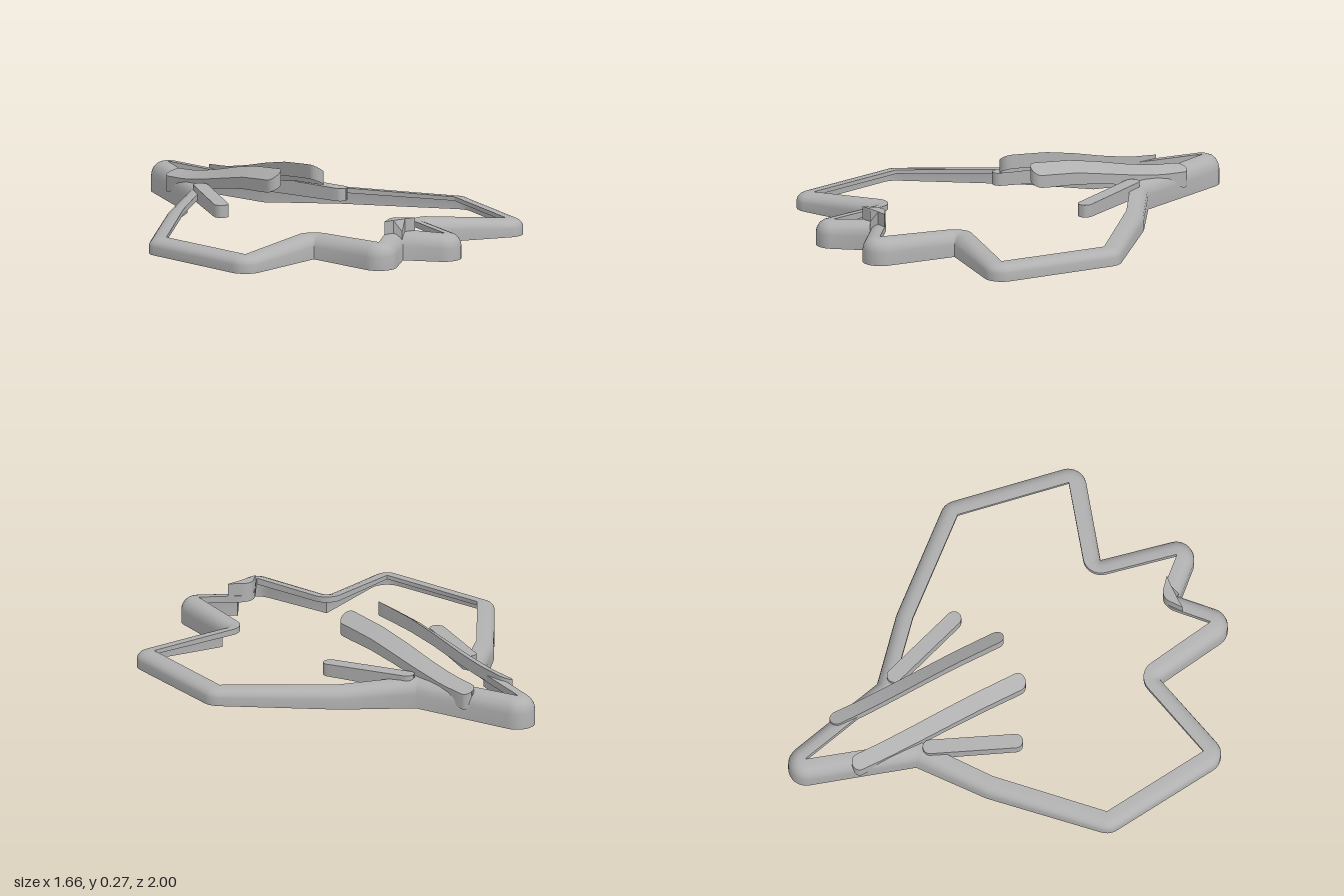
import * as THREE from 'three';
import { toCreasedNormals } from 'three/addons/utils/BufferGeometryUtils.js';

const V2 = (x, z) => new THREE.Vector2(x, z);

// Skin a row of open cross-sections (each a strip of [x, y, z])
function loft(sections, closed) {
  const n = sections[0].length, rows = sections.length, index = [];
  for (let i = 0; i < (closed ? rows : rows - 1); i++) {
    const k = (i + 1) % rows;
    for (let j = 0; j < n - 1; j++) {
      const a = i * n + j, d = k * n + j;
      index.push(a, a + 1, d + 1, a, d + 1, d);
    }
  }
  const geo = new THREE.BufferGeometry();
  geo.setAttribute('position', new THREE.Float32BufferAttribute(sections.flat(2), 3));
  geo.setIndex(index);
  return toCreasedNormals(geo, 0.6);
}

const mirror = (sections) =>
  sections.map((strip) => strip.map(([x, y, z]) => [-x, y, z]).reverse());

// Piecewise-linear lookup: rows of [key, ...values]
function lookup(table, key) {
  let i = 0;
  while (i < table.length - 2 && key > table[i + 1][0]) i++;
  const a = table[i], b = table[i + 1];
  const t = THREE.MathUtils.clamp((key - a[0]) / (b[0] - a[0]), 0, 1);
  return a.slice(1).map((v, j) => v + (b[j + 1] - v) * t);
}

// Closed path with rounded corners; corner = [x, z, height]
function roundedLoop(corners, radius) {
  const out = [], count = corners.length;
  corners.forEach((c, i) => {
    const prev = corners[(i + count - 1) % count], next = corners[(i + 1) % count];
    const p = V2(c[0], c[1]);
    const u = V2(prev[0], prev[1]).sub(p).normalize();
    const v = V2(next[0], next[1]).sub(p).normalize();
    const half = Math.acos(THREE.MathUtils.clamp(u.dot(v), -1, 1)) / 2;
    const centre = p.clone().addScaledVector(u.clone().add(v).normalize(), radius / Math.sin(half));
    const reach = radius / Math.tan(half);
    const a = p.clone().addScaledVector(u, reach).sub(centre);
    const b = p.clone().addScaledVector(v, reach).sub(centre);
    const sweep = Math.atan2(a.cross(b), a.dot(b));
    const steps = Math.max(2, Math.ceil(Math.abs(sweep) / 0.22));
    for (let s = 0; s <= steps; s++) {
      const q = a.clone().rotateAround(V2(0, 0), (sweep * s) / steps);
      // Outward normal comes from the arc itself, flipped on inward bends
      const normal = q.clone().normalize().multiplyScalar(Math.sign(sweep));
      out.push({ p: q.add(centre), normal, h: c[2] });
    }
  });
  return out;
}

// Round-ended hollow bar along z; profile(z) gives
// [innerTop, outerTop, innerBottom, outerBottom]
function barSections(x, z0, z1, hw, profile) {
  const sections = [], arc = 8, mid = 16;
  const add = (z, w) => {
    const [ti, to, bi, bo] = profile(z);
    const top = (o) => THREE.MathUtils.mapLinear(o, -hw, hw, ti, to);
    const bottom = (o) => THREE.MathUtils.mapLinear(o, -hw, hw, bi, bo);
    sections.push([[x + w, bottom(w), z], [x + w, top(w), z], [x - w, top(-w), z], [x - w, bottom(-w), z]]);
  };
  const addEnd = (z, inward, i) => {
    const a = (i / arc) * Math.PI / 2;
    add(z + inward * hw * (1 - Math.cos(a)), Math.max(0.0005, hw * Math.sin(a)));
  };
  for (let i = 0; i <= arc; i++) addEnd(z0, 1, i);
  for (let i = 1; i < mid; i++) add(z0 + hw + ((z1 - z0 - 2 * hw) * i) / mid, hw);
  for (let i = arc; i >= 0; i--) addEnd(z1, -1, i);
  return sections;
}

export function createModel() {
  const group = new THREE.Group();
  const grey = new THREE.MeshStandardMaterial({ color: 0xb0b0b0, side: THREE.DoubleSide });
  grey.name = 'plain grey';
  const add = (name, geometry) => {
    const mesh = new THREE.Mesh(geometry, grey);
    mesh.name = name;
    group.add(mesh);
    return mesh;
  };

  // Outline frame: nose, leading edge, wing tip, trailing edge, tail, notch
  const left = [
    [0.165, -0.47, 0.12], [0.43, -0.25, 0.088], [0.795, 0.145, 0.07],
    [0.714, 0.702, 0.072], [0.275, 0.58, 0.103], [0.195, 1.008, 0.112],
  ];
  const corners = [
    [0, -1.075, 0.13], ...left, [0, 0.81, 0.12],
    ...left.map(([x, z, h]) => [-x, z, h]).reverse(),
  ];
  const hw = 0.038;
  // Open-bottomed shell with a short inner lip:
  // offset as a share of half width, height as a share of the local height
  const section = [[1, 0], [1, 0.52], [0.9, 0.68], [0.65, 0.83], [0.25, 0.94], [-0.2, 0.99], [-1, 1], [-1, 0.75]];
  const frame = roundedLoop(corners, hw + 0.002).map(({ p, normal, h }) =>
    section.map(([o, y]) => [p.x + normal.x * o * hw, y * h, p.y + normal.y * o * hw]));
  add('outlineFrame', loft(frame, true));

  // Tail blades: rising bars with the top slanted down to the outside
  const bladeTable = [
    [-0.76, 0.14, 0.115, 0.09, 0.04], [-0.6, 0.155, 0.125, 0.1, 0.075], [-0.45, 0.185, 0.15, 0.13, 0.105],
    [-0.3, 0.222, 0.18, 0.165, 0.135], [-0.15, 0.252, 0.21, 0.19, 0.158], [0, 0.268, 0.226, 0.205, 0.17],
    [0.07, 0.275, 0.232, 0.21, 0.178],
  ];
  const blade = barSections(0.112, -0.755, 0.07, 0.033, (z) => lookup(bladeTable, z));
  add('leftTailBlade', loft(blade));
  add('rightTailBlade', loft(mirror(blade)));

  // Small angled fins behind the leading edge
  const fin = barSections(0, 0, 0.435, 0.032, (z) => {
    const top = 0.136 - 0.025 * z;
    return [top, top, 0.07, 0.07];
  });
  for (const side of [1, -1]) {
    const mesh = add(side > 0 ? 'leftFin' : 'rightFin', loft(fin));
    mesh.position.set(side * 0.17, 0, -0.447);
    mesh.rotation.y = side * Math.atan2(0.145, 0.385);
  }

  // Raised chevron at the tail notch, its front point dropping to the frame
  const chevron = new THREE.Shape();
  chevron.moveTo(-0.08, -0.838);
  chevron.lineTo(-0.03, -0.835);
  chevron.lineTo(0, -0.858);
  chevron.lineTo(0.03, -0.835);
  chevron.lineTo(0.08, -0.838);
  chevron.lineTo(0.03, -0.797);
  chevron.quadraticCurveTo(0, -0.777, -0.03, -0.797);
  chevron.closePath();
  const knob = new THREE.ExtrudeGeometry(chevron, { depth: 0.085, bevelEnabled: false, curveSegments: 8 });
  knob.rotateX(-Math.PI / 2).translate(0, 0.09, 0);
  const pos = knob.attributes.position;
  for (let i = 0; i < pos.count; i++) {
    if (pos.getZ(i) > 0.85 && pos.getY(i) > 0.12) pos.setY(i, 0.125);
  }
  knob.computeVertexNormals();
  add('tailNotchKnob', knob);

  return group;
}
